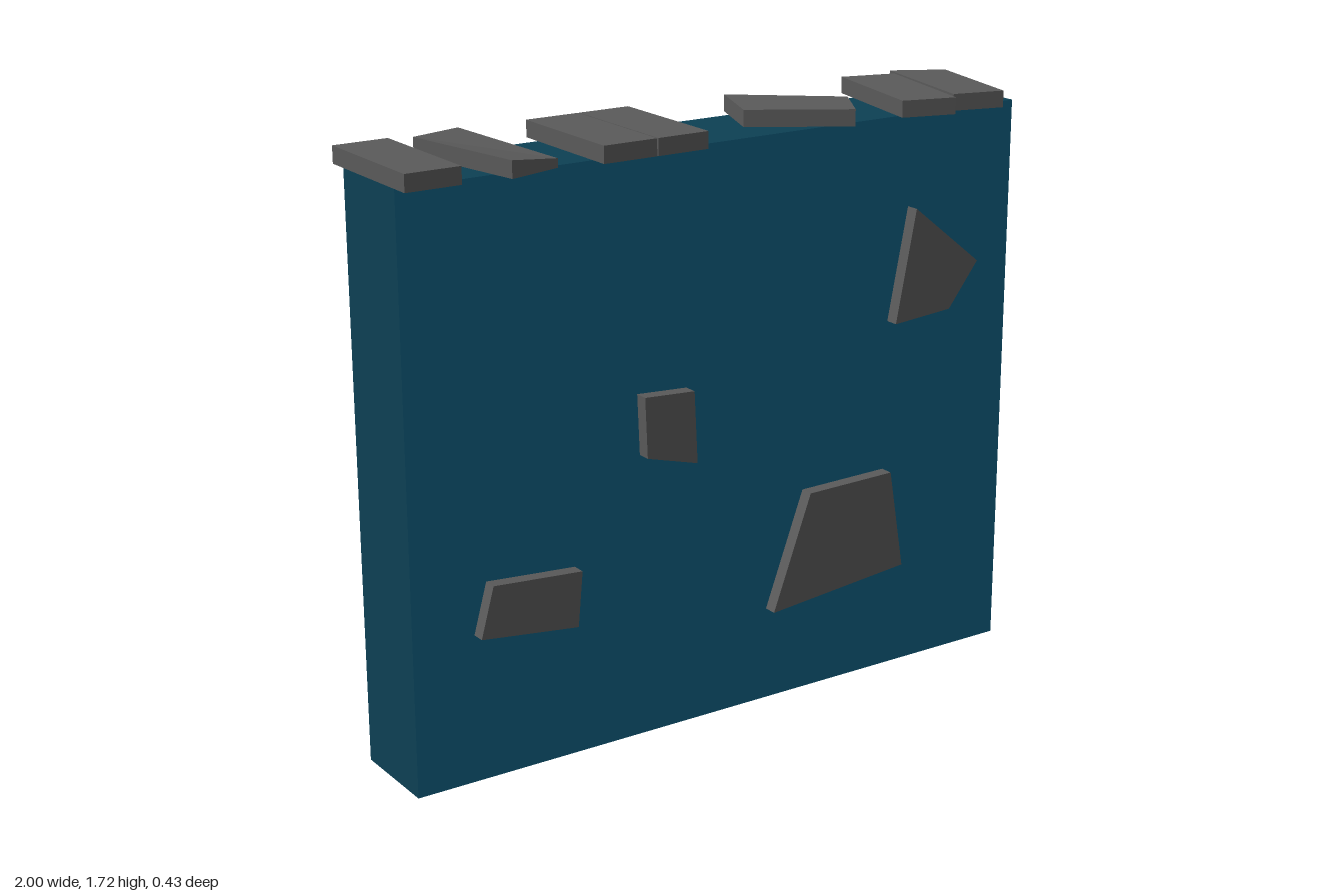
import * as THREE from 'three';

const WIDTH = 2, HEIGHT = 1.67, DEPTH = 0.28;

// Flat slab from a counter-clockwise outline of [x, z, topHeight], standing on y = 0.
// The top is a fan from the first corner, so a lowered corner gives a chipped facet.
function slabGeometry(outline, thickness) {
  const top = outline.map(([x, z, h = thickness]) => new THREE.Vector3(x, h, z));
  const low = outline.map(([x, z]) => new THREE.Vector3(x, 0, z));
  const points = [];
  const n = outline.length;
  for (let i = 1; i < n - 1; i++) {
    points.push(top[0], top[i], top[i + 1]);
    points.push(low[0], low[i + 1], low[i]);
  }
  for (let i = 0; i < n; i++) {
    const j = (i + 1) % n;
    points.push(low[i], low[j], top[j], low[i], top[j], top[i]);
  }
  const geometry = new THREE.BufferGeometry().setFromPoints(points);
  geometry.computeVertexNormals();
  return geometry;
}

export function createModel() {
  const model = new THREE.Group();
  const paint = (name, color) => {
    const material = new THREE.MeshStandardMaterial({ color });
    material.name = name;
    return material;
  };
  const wallBlue = paint('wall blue', 0x0f5f80);
  const edgeBlue = paint('dark edge blue', 0x0d4054);
  const stoneGrey = paint('stone grey', 0x5a5a5a);

  // Wall: lighter broad faces, darker edges
  const wall = new THREE.Mesh(
    new THREE.BoxGeometry(WIDTH, HEIGHT, DEPTH),
    [edgeBlue, edgeBlue, edgeBlue, edgeBlue, wallBlue, wallBlue]
  );
  wall.name = 'wall';
  wall.position.y = HEIGHT / 2;
  model.add(wall);

  // Coping stones along the top, outlines in x and z
  const copingStones = [
    [[-1, -0.2], [-1, 0.195], [-0.84, 0.195], [-0.84, -0.2]],
    [[-0.78, -0.175], [-0.705, 0.21], [-0.545, 0.165, 0.025], [-0.625, -0.215]],
    [[-0.425, -0.2], [-0.425, 0.195], [-0.262, 0.195], [-0.262, -0.2]],
    [[-0.258, -0.2], [-0.258, 0.195], [-0.1, 0.195], [-0.1, -0.2]],
    [[0.215, -0.19], [0.135, 0.02], [0.395, 0.185], [0.485, 0.03]],
    [[0.65, -0.215], [0.575, 0.165], [0.73, 0.21], [0.81, -0.17]],
    [[0.83, -0.215], [0.755, 0.17], [0.905, 0.21], [0.975, -0.135], [0.983, -0.168, 0.012]],
  ];
  const coping = new THREE.Group();
  coping.name = 'copingStones';
  coping.position.y = HEIGHT;
  copingStones.forEach((outline, i) => {
    const stone = new THREE.Mesh(slabGeometry(outline, 0.048), stoneGrey);
    stone.name = `copingStone${i + 1}`;
    coping.add(stone);
  });
  model.add(coping);

  // Stones set into the front, outlines in x and y
  const faceStones = [
    [[0.625, 1.405], [0.56, 1.075], [0.755, 1.09], [0.855, 1.22]],
    [[-0.295, 1.01], [-0.288, 0.835], [-0.125, 0.79], [-0.135, 1.0]],
    [[-0.775, 0.575], [-0.815, 0.43], [-0.515, 0.395], [-0.5, 0.555]],
    [[0.265, 0.62], [0.14, 0.28], [0.605, 0.325], [0.555, 0.625]],
  ];
  faceStones.forEach((outline, i) => {
    const flat = outline.map(([x, y]) => [x, -y]);
    const stone = new THREE.Mesh(slabGeometry(flat, 0.04), stoneGrey);
    stone.name = `faceStone${i + 1}`;
    stone.rotation.x = Math.PI / 2;
    stone.position.z = DEPTH / 2;
    model.add(stone);
  });

  return model;
}
